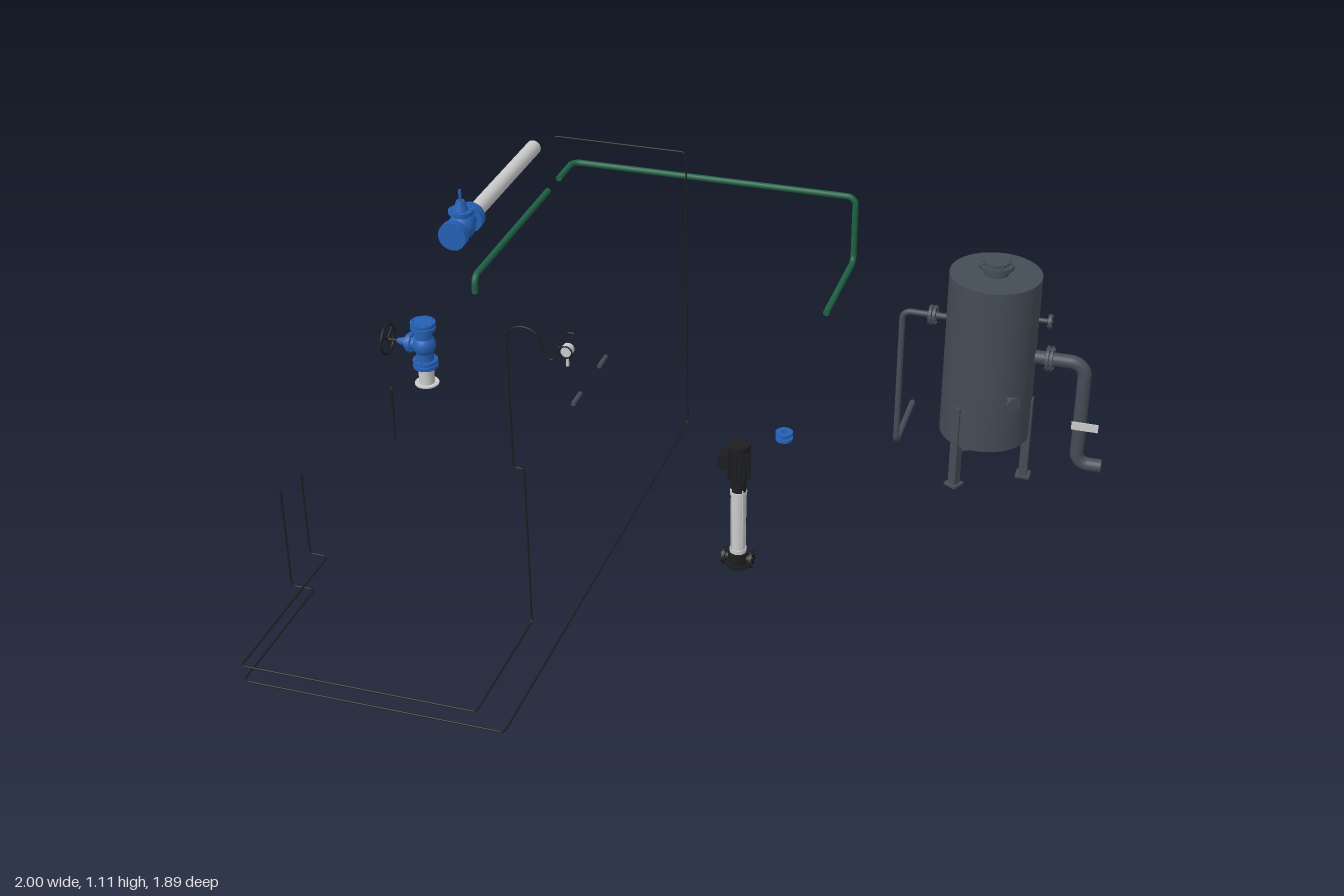
import * as THREE from 'three';
import { mergeGeometries } from 'three/addons/utils/BufferGeometryUtils.js';

const mat = (color) => new THREE.MeshStandardMaterial({ color });
const STEEL = mat(0x444c56), GREEN = mat(0x1f6144), BLUE = mat(0x2560b4),
  GREY = mat(0xcccccc), BLACK = mat(0x1d1e21);
const V = (a) => new THREE.Vector3(...a);
const UP = new THREE.Vector3(0, 1, 0);

function group(parent, name, pos = [0, 0, 0]) {
  const g = new THREE.Group();
  g.name = name;
  g.position.set(...pos);
  parent.add(g);
  return g;
}

function add(parent, name, geo, material, pos = [0, 0, 0]) {
  const m = new THREE.Mesh(geo, material);
  m.name = name;
  m.position.set(...pos);
  parent.add(m);
  return m;
}

// cylinder geometry running between two points
function rodGeo(a, b, r, sides = 24, r2 = r) {
  const d = b.clone().sub(a);
  const g = new THREE.CylinderGeometry(r2, r, d.length(), sides);
  g.applyQuaternion(new THREE.Quaternion().setFromUnitVectors(UP, d.normalize()));
  const c = a.clone().add(b).multiplyScalar(0.5);
  return g.translate(c.x, c.y, c.z);
}
const rod = (parent, name, a, b, r, material, sides, r2) =>
  add(parent, name, rodGeo(V(a), V(b), r, sides, r2), material);

// pipe through corner points, with every corner rounded by a bend
function pipe(parent, name, points, r, bend, material, sides = 16) {
  const p = points.map(V), parts = [];
  let start = p[0];
  for (let i = 1; i < p.length; i++) {
    if (i === p.length - 1) { parts.push(rodGeo(start, p[i], r, sides)); break; }
    const toPrev = p[i - 1].clone().sub(p[i]), toNext = p[i + 1].clone().sub(p[i]);
    const d = Math.min(bend, toPrev.length() * 0.48, toNext.length() * 0.48);
    const a = p[i].clone().addScaledVector(toPrev.normalize(), d);
    const b = p[i].clone().addScaledVector(toNext.normalize(), d);
    parts.push(rodGeo(start, a, r, sides));
    const k = 0.55;
    const curve = new THREE.CubicBezierCurve3(a, a.clone().lerp(p[i], k), b.clone().lerp(p[i], k), b);
    parts.push(new THREE.TubeGeometry(curve, 10, r, sides));
    start = b;
  }
  return add(parent, name, mergeGeometries(parts), material);
}

// flange disc with a ring of bolts, centred at c with its axis along dir
function flange(parent, c, dir, r, thick, material, bolts = 8) {
  const n = V(dir).normalize(), q = new THREE.Quaternion().setFromUnitVectors(UP, n);
  const parts = [new THREE.CylinderGeometry(r, r, thick, 32)];
  for (let i = 0; i < bolts; i++) {
    const t = (i / bolts) * Math.PI * 2;
    parts.push(new THREE.CylinderGeometry(r * 0.09, r * 0.09, thick * 1.7, 6)
      .translate(Math.cos(t) * r * 0.8, 0, Math.sin(t) * r * 0.8));
  }
  const m = add(parent, 'flange', mergeGeometries(parts), material, c);
  m.quaternion.copy(q);
  return m;
}

function buildTank(root) {
  const g = group(root, 'tank', [0.647, 0, -0.7]);
  add(g, 'shell', new THREE.CylinderGeometry(0.132, 0.132, 0.515, 48), STEEL, [0, 0.3975, 0]);
  rod(g, 'topNeck', [0, 0.65, 0], [0, 0.682, 0], 0.036, STEEL, 32);
  flange(g, [0, 0.68, 0], [0, 1, 0], 0.05, 0.012, STEEL, 12);
  rod(g, 'topPlug', [0, 0.68, 0], [0, 0.694, 0], 0.036, STEEL);
  rod(g, 'drain', [0, 0.118, 0], [0, 0.15, 0], 0.01, STEEL);
  // three legs with feet
  for (let i = 0; i < 3; i++) {
    const leg = group(g, 'leg');
    leg.rotation.y = (i * Math.PI * 2) / 3;
    add(leg, 'post', new THREE.BoxGeometry(0.024, 0.265, 0.026), STEEL, [0.125, 0.1325, 0]);
    add(leg, 'foot', new THREE.BoxGeometry(0.042, 0.007, 0.042), STEEL, [0.125, 0.0035, 0]);
  }
  // small flanged nozzles: angle about y from +x, height, outer reach
  for (const [deg, y, reach] of [[0, 0.525, 0.168], [90, 0.56, 0.172], [133, 0.5, 0.165], [-54, 0.315, 0.168]]) {
    const n = group(g, 'nozzle', [0, y, 0]);
    n.rotation.y = (deg * Math.PI) / 180;
    rod(n, 'neck', [0.12, 0, 0], [reach, 0, 0], 0.007, STEEL);
    flange(n, [reach - 0.004, 0, 0], [1, 0, 0], 0.021, 0.009, STEEL, 6);
  }
  // thin pipe on the right, large pipe on the left
  pipe(g, 'outletPipe', [[-0.12, 0.495, 0], [-0.262, 0.495, 0], [-0.262, 0.047, 0], [-0.262, 0.047, -0.245]],
    0.009, 0.025, STEEL);
  pipe(g, 'inletPipe', [[0.12, 0.405, 0], [0.276, 0.405, 0], [0.276, 0.072, 0], [0.35, 0.072, 0]],
    0.02, 0.042, STEEL, 24);
  for (const dx of [-0.006, 0.006]) {
    flange(g, [-0.173 + dx, 0.495, 0], [1, 0, 0], 0.029, 0.008, STEEL);
    flange(g, [0.173 + dx, 0.405, 0], [1, 0, 0], 0.037, 0.008, STEEL);
  }
}

function buildPump(root) {
  const g = group(root, 'pump', [0.11, 0, 0.065]);
  rod(g, 'base', [0, 0.06, 0], [0, 0.07, 0], 0.033, BLACK);
  rod(g, 'volute', [0, 0.07, 0], [0, 0.105, 0], 0.028, BLACK);
  rod(g, 'port', [-0.042, 0.083, 0], [0.042, 0.083, 0], 0.014, BLACK);
  for (const x of [-0.038, 0.038]) flange(g, [x, 0.083, 0], [1, 0, 0], 0.024, 0.009, BLACK);
  rod(g, 'column', [0, 0.105, 0], [0, 0.3, 0], 0.02, GREY, 32);
  for (const y of [0.11, 0.295]) rod(g, 'collar', [0, y - 0.006, 0], [0, y + 0.006, 0], 0.023, GREY, 32);
  for (let i = 0; i < 4; i++) {
    const a = Math.PI * (0.25 + i / 2), x = Math.cos(a) * 0.022, z = Math.sin(a) * 0.022;
    rod(g, 'tieRod', [x, 0.1, z], [x, 0.31, z], 0.002, GREY, 8);
  }
  rod(g, 'coupling', [0, 0.3, 0], [0, 0.34, 0], 0.021, BLACK);
  rod(g, 'motor', [0, 0.34, 0], [0, 0.43, 0], 0.028, BLACK, 32);
  rod(g, 'motorCap', [0, 0.43, 0], [0, 0.447, 0], 0.03, BLACK, 32);
  for (let i = 0; i < 16; i++) {
    const fin = add(g, 'coolingFin', new THREE.BoxGeometry(0.062, 0.085, 0.002), BLACK, [0, 0.385, 0]);
    fin.rotation.y = (i * Math.PI) / 16;
  }
  add(g, 'terminalBox', new THREE.BoxGeometry(0.03, 0.042, 0.032), BLACK, [-0.041, 0.39, 0]);
}

function buildCheckValve(root) {
  const g = group(root, 'checkValve', [-0.62, 1.008, 0.12]);
  add(g, 'body', new THREE.SphereGeometry(0.036, 32, 20), BLUE);
  rod(g, 'throat', [0, 0, -0.066], [0, 0, 0.066], 0.023, BLUE);
  for (const z of [-0.063, -0.049, 0.063, 0.049]) flange(g, [0, 0, z], [0, 0, 1], 0.038, 0.01, BLUE);
  rod(g, 'bonnetNeck', [0, 0.02, 0], [0, 0.045, 0], 0.022, BLUE);
  flange(g, [0, 0.042, 0], [0, 1, 0], 0.033, 0.009, BLUE);
  rod(g, 'bonnet', [0, 0.045, 0], [0, 0.072, 0], 0.02, BLUE, 24, 0.011);
  rod(g, 'stem', [0, 0.07, 0], [0, 0.102, 0], 0.004, BLUE);
  rod(root, 'steelPipe', [-0.62, 1.008, 0.055], [-0.62, 1.008, -0.4], 0.021, GREY, 32);
}

function buildWheelValve(root) {
  const g = group(root, 'wheelValve', [-0.622, 0.805, 0.393]);
  rod(g, 'body', [0, -0.058, 0], [0, 0.06, 0], 0.022, BLUE);
  add(g, 'bulge', new THREE.SphereGeometry(0.03, 24, 16), BLUE);
  for (const y of [0.06, 0.048, -0.046, -0.058]) flange(g, [0, y, 0], [0, 1, 0], 0.032, 0.009, BLUE);
  rod(g, 'branch', [0, 0, 0], [-0.05, 0, 0], 0.018, BLUE);
  flange(g, [-0.037, 0, 0], [1, 0, 0], 0.026, 0.01, BLUE);
  rod(g, 'bonnet', [-0.045, 0, 0], [-0.072, 0, 0], 0.014, BLUE, 24, 0.007);
  rod(g, 'stem', [-0.06, 0, 0], [-0.108, 0, 0], 0.004, BLACK, 12);
  // handwheel
  const w = group(g, 'handwheel', [-0.1, 0, 0]);
  add(w, 'rim', new THREE.TorusGeometry(0.039, 0.0035, 10, 40).rotateY(Math.PI / 2), BLACK);
  for (let i = 0; i < 3; i++) {
    const a = (i * Math.PI * 2) / 3 + 0.5;
    rod(w, 'spoke', [0, 0, 0], [0, Math.sin(a) * 0.039, Math.cos(a) * 0.039], 0.003, BLACK, 8);
  }
  rod(g, 'lowerPipe', [0, -0.055, 0], [0, -0.112, 0], 0.02, GREY);
  rod(g, 'lowerLip', [0, -0.108, 0], [0, -0.112, 0], 0.031, GREY, 32);
}

function buildImpulseLines(root) {
  const r = 0.0027;
  pipe(root, 'lowerLine', [[-0.997, 0.38, 0.535], [-0.997, 0.083, 0.535], [-0.93, 0.083, 0.535],
    [-0.93, 0.083, 0.94], [-0.23, 0.083, 0.94], [-0.23, 0.083, -0.57], [-0.23, 0.97, -0.57],
    [-0.62, 0.97, -0.57]], r, 0.015, BLACK, 8);
  pipe(root, 'upperLine', [[-0.982, 0.38, 0.445], [-0.982, 0.13, 0.445], [-0.93, 0.13, 0.445],
    [-0.93, 0.13, 0.94], [-0.3, 0.13, 0.94], [-0.3, 0.13, 0.56], [-0.3, 0.595, 0.56],
    [-0.328, 0.595, 0.56], [-0.328, 0.95, 0.56]], r, 0.012, BLACK, 8);
  for (const [x, z] of [[-0.997, 0.535], [-0.982, 0.445]])
    rod(root, 'lineEnd', [x, 0.365, z], [x, 0.382, z], 0.0045, BLACK, 8);
  // looped tail that carries the gauge
  const loop = new THREE.CatmullRomCurve3([[-0.328, 0.95, 0.56], [-0.318, 0.982, 0.56], [-0.285, 0.995, 0.56],
    [-0.25, 0.98, 0.56], [-0.238, 0.945, 0.56], [-0.217, 0.917, 0.56], [-0.2, 0.93, 0.56],
    [-0.197, 0.962, 0.56]].map(V));
  add(root, 'gaugeLoop', new THREE.TubeGeometry(loop, 48, r, 8), BLACK);
  pipe(root, 'gaugeStem', [[-0.175, 0.965, 0.505], [-0.197, 0.965, 0.505], [-0.197, 0.965, 0.575],
    [-0.165, 0.965, 0.582]], r, 0.008, BLACK, 8);
  const g = group(root, 'gauge', [-0.165, 0.965, 0.586]);
  rod(g, 'case', [0, 0, -0.01], [0, 0, 0.01], 0.015, GREY, 24);
  add(g, 'rim', new THREE.TorusGeometry(0.015, 0.002, 8, 24), BLACK, [0, 0, 0.01]);
  rod(g, 'shank', [0, -0.042, 0], [0, -0.014, 0], 0.004, GREY, 12);
  // hanging probe
  pipe(root, 'probe', [[-0.628, 0.785, 0.567], [-0.628, 0.785, 0.587], [-0.628, 0.64, 0.587]], 0.0025, 0.006, BLACK, 8);
  rod(root, 'probeSleeve', [-0.628, 0.71, 0.587], [-0.628, 0.775, 0.587], 0.004, BLACK, 8);
}

export function createModel() {
  const root = new THREE.Group();
  root.name = 'processPiping';
  buildTank(root);
  buildPump(root);
  buildCheckValve(root);
  buildWheelValve(root);
  buildImpulseLines(root);
  // green main in two runs
  pipe(root, 'greenPipeFront', [[-0.62, 0.785, 0.062], [-0.62, 0.833, 0.062], [-0.62, 0.833, -0.495]], 0.009, 0.025, GREEN);
  pipe(root, 'greenPipeRear', [[-0.62, 0.833, -0.583], [-0.62, 0.833, -0.705], [0.232, 0.833, -0.705],
    [0.232, 0.63, -0.705], [0.232, 0.63, -0.375]], 0.009, 0.025, GREEN);
  // two loose pipe stubs near the floor
  for (const z of [-0.91, -0.665])
    rod(root, 'pipeStub', [-0.62, 0.047, z - 0.034], [-0.62, 0.047, z + 0.034], 0.0075, STEEL);
  // open flanged coupling: two rings on a short sleeve
  const c = group(root, 'coupling', [0.232, 0.493, 0.064]);
  const ring = (inner, outer, h) => new THREE.LatheGeometry(
    [[inner, -h], [outer, -h], [outer, h], [inner, h], [inner, -h]].map((p) => new THREE.Vector2(...p)), 32).toNonIndexed();
  for (const y of [-0.008, 0.008]) {
    const geo = ring(0.008, 0.023, 0.0035);
    geo.computeVertexNormals();
    add(c, 'ring', geo, BLUE, [0, y, 0]);
  }
  add(c, 'sleeve', ring(0.008, 0.014, 0.01), BLUE);
  // small grey plate
  add(root, 'plate', new THREE.BoxGeometry(0.074, 0.024, 0.004), GREY, [0.961, 0.36, -0.425]);
  return root;
}
